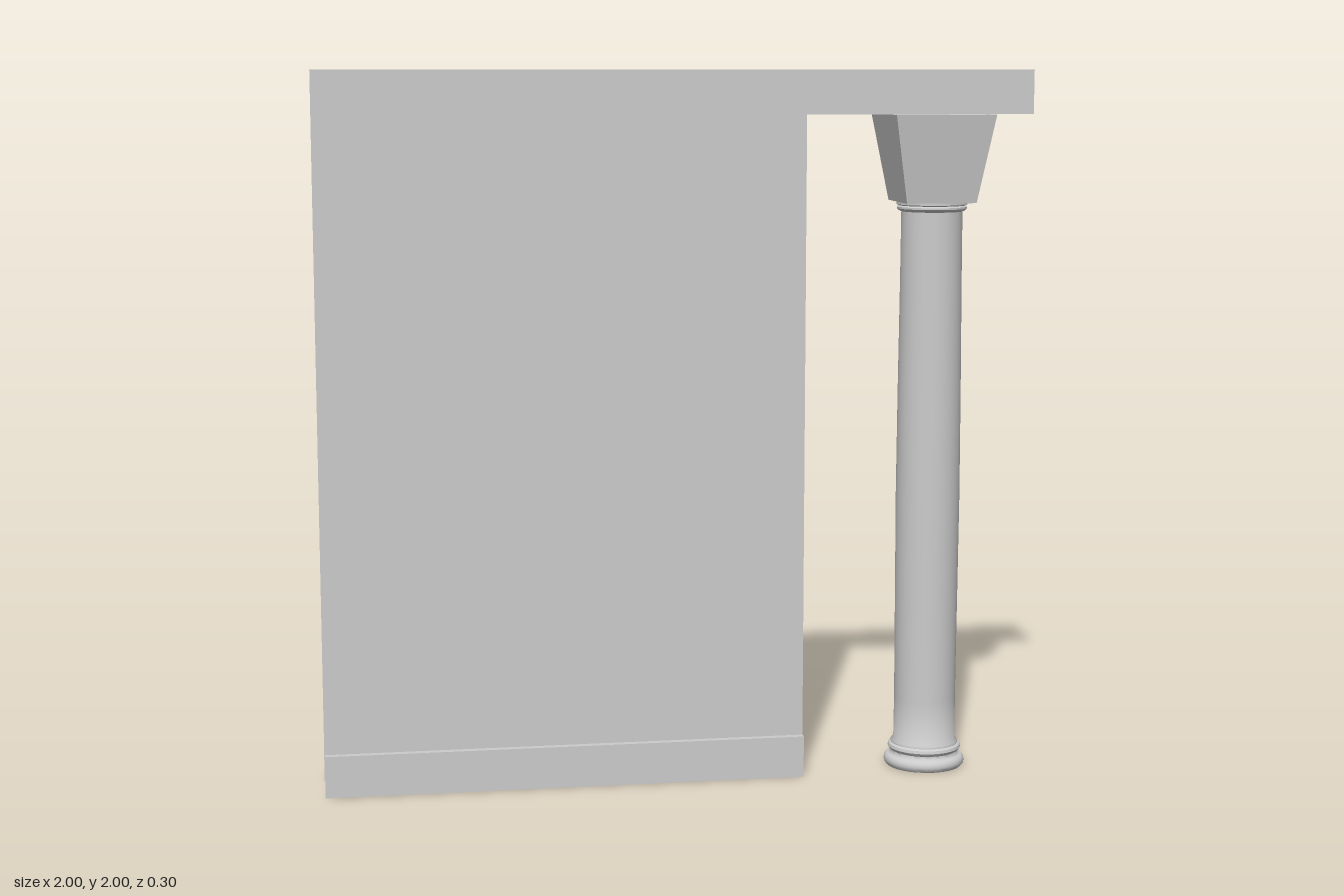
import * as THREE from 'three';
import { toCreasedNormals } from 'three/addons/utils/BufferGeometryUtils.js';

const material = new THREE.MeshStandardMaterial({ color: 0xcccccc, side: THREE.DoubleSide });

const LEFT = -1, JAMB = 0.353, RIGHT = 1; // wall start, opening edge, beam end
const TOP = 2, LINTEL = 1.877, SKIRT = 0.118; // heights
const WALL_Z = 0.065, SKIRT_Z = 0.086; // half thicknesses
const COLUMN_X = 0.728;

function add(parent, name, geometry, x = 0, y = 0, z = 0) {
  const mesh = new THREE.Mesh(geometry, material);
  mesh.name = name;
  mesh.position.set(x, y, z);
  parent.add(mesh);
  return mesh;
}

// Flat panel in the XY plane through the given corners
function panel(corners) {
  return new THREE.ShapeGeometry(new THREE.Shape(corners.map(([x, y]) => new THREE.Vector2(x, y))));
}

function createWall() {
  const wall = new THREE.Group();
  wall.name = 'wall';
  const length = JAMB - LEFT, middle = (JAMB + LEFT) / 2;

  // Two thin faces with the beam reaching out over the opening, each with a skirting
  for (const side of [1, -1]) {
    const face = new THREE.Group();
    face.name = side > 0 ? 'frontFace' : 'backFace';
    add(face, 'wallPanel', panel([
      [LEFT, SKIRT], [JAMB, SKIRT], [JAMB, LINTEL], [RIGHT, LINTEL], [RIGHT, TOP], [LEFT, TOP],
    ]), 0, 0, WALL_Z);
    add(face, 'skirtingBoard', new THREE.PlaneGeometry(length, SKIRT), middle, SKIRT / 2, SKIRT_Z);
    add(face, 'skirtingLedge', new THREE.PlaneGeometry(length, SKIRT_Z - WALL_Z).rotateX(-Math.PI / 2),
      middle, SKIRT, (SKIRT_Z + WALL_Z) / 2);
    face.scale.z = side;
    wall.add(face);
  }

  // Closed end of the wall, wider at the skirting
  add(wall, 'wallEnd', panel([
    [-SKIRT_Z, 0], [SKIRT_Z, 0], [SKIRT_Z, SKIRT], [WALL_Z, SKIRT],
    [WALL_Z, LINTEL], [-WALL_Z, LINTEL], [-WALL_Z, SKIRT], [-SKIRT_Z, SKIRT],
  ]).rotateY(Math.PI / 2), JAMB);

  // Underside of the beam
  add(wall, 'beamUnderside', new THREE.PlaneGeometry(RIGHT - JAMB, 2 * WALL_Z).rotateX(Math.PI / 2),
    (JAMB + RIGHT) / 2, LINTEL);
  return wall;
}

function createColumn() {
  const column = new THREE.Group();
  column.name = 'column';

  // Hollow turned shaft: moulded foot, slight swelling, neck ring
  const profile = [
    [0.108, 0], [0.114, 0.007], [0.116, 0.015], [0.114, 0.024], [0.108, 0.031],
    [0.102, 0.032], [0.097, 0.037], [0.096, 0.044], [0.101, 0.047],
    [0.105, 0.054], [0.103, 0.062], [0.096, 0.066], [0.096, 0.072], [0.089, 0.08],
    [0.088, 0.2], [0.0895, 0.5], [0.091, 0.8], [0.0895, 1.1], [0.087, 1.4], [0.086, 1.605],
    [0.093, 1.608], [0.098, 1.613], [0.098, 1.618], [0.094, 1.622], [0.1, 1.625], [0.1, 1.632],
  ].map(([r, y]) => new THREE.Vector2(r, y));
  add(column, 'shaft', toCreasedNormals(new THREE.LatheGeometry(profile, 40), 0.75));

  // Tapered block capital
  const bottom = 1.632, height = LINTEL - bottom;
  const capital = new THREE.BoxGeometry(0.284, height, 0.297);
  const p = capital.attributes.position;
  for (let i = 0; i < p.count; i++) {
    if (p.getY(i) < 0) p.setXYZ(i, p.getX(i) * 0.7, p.getY(i), p.getZ(i) * 0.72);
  }
  capital.computeVertexNormals();
  add(column, 'capital', capital, 0, bottom + height / 2);

  column.position.x = COLUMN_X;
  return column;
}

export function createModel() {
  const model = new THREE.Group();
  model.name = 'wallWithColumn';
  model.add(createWall(), createColumn());
  return model;
}
